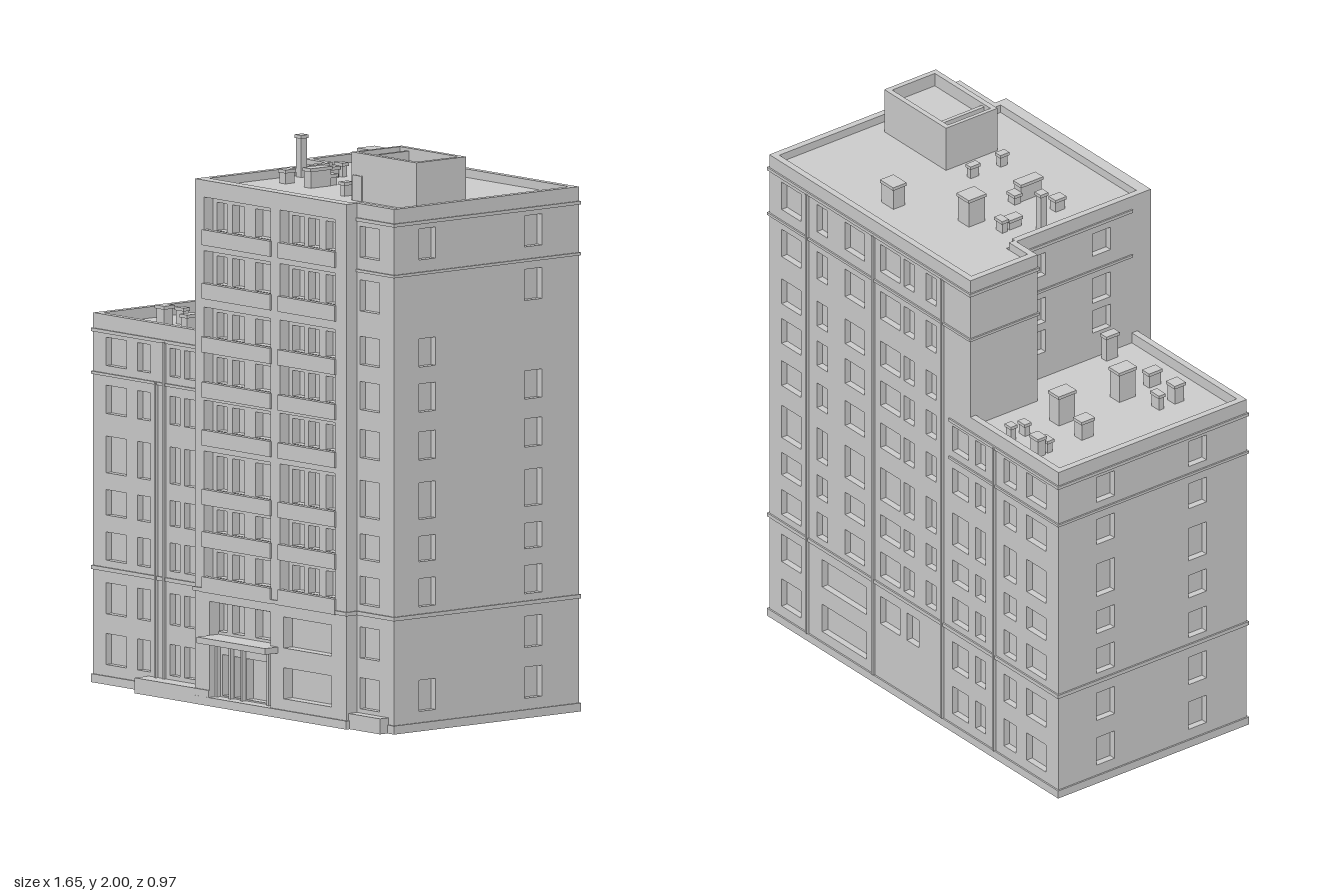
import * as THREE from 'three';

const mat = new THREE.MeshStandardMaterial({ color: 0xcccccc });
const D = 0.025; // usual wall thickness = window recess

export function createModel() {
  const root = new THREE.Group();
  root.name = 'apartmentBlock';

  const box = (name, x0, x1, y0, y1, z0, z1, parent = root) => {
    const m = new THREE.Mesh(new THREE.BoxGeometry(x1 - x0, y1 - y0, z1 - z0), mat);
    m.position.set((x0 + x1) / 2, (y0 + y1) / 2, (z0 + z1) / 2);
    m.name = name;
    parent.add(m);
    return m;
  };

  // Wall panel with rectangular openings; u is world x (front, back) or z (sides)
  const faces = {
    front: { rot: 0, s: 1 }, back: { rot: Math.PI, s: -1 },
    right: { rot: -Math.PI / 2, s: 1 }, left: { rot: Math.PI / 2, s: -1 },
  };
  const wall = (name, face, at, u0, u1, y0, y1, holes = [], depth = D) => {
    const { rot, s } = faces[face];
    const rect = (path, a, b, c, d) => {
      const [l, r] = [Math.min(a * s, b * s), Math.max(a * s, b * s)];
      path.moveTo(l, c);
      path.lineTo(r, c);
      path.lineTo(r, d);
      path.lineTo(l, d);
      path.closePath();
      return path;
    };
    const shape = rect(new THREE.Shape(), u0, u1, y0, y1);
    for (const h of holes) shape.holes.push(rect(new THREE.Path(), ...h));
    const geo = new THREE.ExtrudeGeometry(shape, { depth, bevelEnabled: false });
    geo.translate(0, 0, Math.abs(at) - depth * 1);
    if (face === 'front') geo.translate(0, 0, at - Math.abs(at));
    const m = new THREE.Mesh(geo, mat);
    m.rotation.y = rot;
    m.name = name;
    root.add(m);
  };
  const grid = (cols, rows) => cols.flatMap(c => rows.map(r => [...c, ...r]));

  // Window rows from the ground up; the low wing has the first seven
  const rows = [[0.07, 0.18], [0.25, 0.36], [0.44, 0.54], [0.6, 0.69], [0.75, 0.88],
    [0.96, 1.06], [1.13, 1.23], [1.29, 1.39], [1.48, 1.59], [1.67, 1.78]];
  const lowRows = rows.slice(0, 7), upRows = rows.slice(2);
  const pick = (...ids) => ids.map(i => rows[i]);

  // Solid cores behind the wall panels; their faces are the window panes
  box('wingCore', -0.795, -0.19, 0, 1.27, -0.455, 0.335);
  box('towerCore', -0.175, 0.795, 0, 1.83, -0.455, 0.345);
  box('rearCore', -0.295, -0.17, 0, 1.83, -0.455, -0.205);
  box('towerRoofEdge', -0.18, 0.6, 1.81, 1.83, 0.3, 0.38);

  // Low wing
  const wingCols = [[-0.75, -0.64], [-0.58, -0.51], [-0.405, -0.35], [-0.325, -0.22]];
  wall('wingFront', 'front', 0.36, -0.82, -0.19, 0, 1.31, grid(wingCols, lowRows));
  wall('wingBack', 'back', -0.48, -0.82, -0.32, 0, 1.31, grid(wingCols.slice(0, 3), lowRows));
  wall('wingSide', 'right', -0.82, -0.455, 0.335, 0, 1.31,
    grid([[-0.31, -0.23], [0.1, 0.18]], lowRows));

  // Tower side and back
  wall('towerSide', 'left', 0.82, -0.455, 0.345, 0, 1.86, [
    ...grid([[0.18, 0.255]], pick(0, 2, 3, 4, 5, 6, 7, 9)),
    ...grid([[-0.31, -0.23]], pick(0, 1, 2, 3, 4, 5, 6, 8, 9))]);
  wall('towerBack', 'back', -0.48, -0.32, 0.82, 0, 1.86, [
    ...grid([[0.64, 0.75]], rows),
    ...grid([[0.49, 0.55], [0.28, 0.39], [0.08, 0.19], [0, 0.055], [-0.125, -0.07]], upRows),
    ...grid([[0.27, 0.52]], pick(0, 1)),
    ...grid([[0.08, 0.19], [-0.03, 0.04]], pick(1)),
    ...grid([[-0.31, -0.22]], lowRows)]);

  // Tower faces above the wing
  wall('towerInnerSide', 'right', -0.2, -0.18, 0.38, 0, 1.86,
    grid([[-0.13, -0.05], [0.16, 0.24]], [[1.37, 1.46], [1.49, 1.59], [1.68, 1.77]]));
  wall('rearBlockSide', 'right', -0.32, -0.455, -0.18, 1.2, 1.86);
  wall('rearBlockFront', 'front', -0.18, -0.3, -0.19, 1.2, 1.86);

  // Tower front: corner strip, return, and the centre with deep balcony bays
  wall('cornerFront', 'front', 0.37, 0.6, 0.82, 0, 1.86, grid([[0.635, 0.74]], rows));
  wall('cornerReturn', 'left', 0.62, 0.345, 0.38, 0, 1.86);
  const bays = [[-0.15, 0.21], [0.26, 0.56]];
  const openings = upRows.map(([a, b]) => [a, b + 0.02]);
  wall('towerFront', 'front', 0.42, -0.2, 0.62, 0, 1.86, [
    ...grid(bays, openings),
    [-0.12, 0.21, 0.25, 0.37], [-0.12, 0.21, 0.03, 0.225],
    ...grid([[0.28, 0.54]], pick(0, 1))], 0.045);
  const bayCols = [[-0.13, -0.075], [-0.045, 0.02], [0.08, 0.19],
    [0.28, 0.345], [0.365, 0.425], [0.46, 0.54]];
  wall('balconyBackWall', 'front', 0.378, -0.18, 0.6, 0.03, 1.8, [
    ...grid(bayCols, upRows.map(([a, b]) => [a + 0.01, b])),
    ...grid(bayCols.slice(0, 3), [[0.26, 0.36]]),
    [-0.1, -0.05, 0.035, 0.18], [-0.035, 0.015, 0.035, 0.18],
    [0.03, 0.16, 0.035, 0.18]], 0.033);
  for (const [a, b] of bays) {
    for (const [y] of upRows) {
      box('balconyRail', a - 0.005, b + 0.005, y - 0.04, y + 0.015, 0.405, 0.427);
    }
  }

  // String courses and plinth, as thin slabs that stand proud of the walls
  const e = 0.006;
  const slab = (name, y, h, x0, x1, z0, z1) =>
    box(name, x0 - e, x1 + e, y - h / 2, y + h / 2, z0 - e, z1 + e);
  const towerBand = (y, h, centre) => {
    slab('towerBand', y, h, -0.2, 0.82, -0.48, 0.33);
    slab('towerBand', y, h, 0.625, 0.82, -0.48, 0.37);
    slab('rearBand', y, h, -0.32, -0.19, -0.48, -0.18);
    if (centre) slab('centreBand', y, h, -0.2, 0.62, 0, 0.42);
  };
  towerBand(1.803, 0.012, false);
  towerBand(1.622, 0.01, false);
  towerBand(0.408, 0.014, true);
  towerBand(0.015, 0.03, true);
  for (const [y, h] of [[1.25, 0.012], [1.098, 0.01], [0.408, 0.014], [0.015, 0.03]]) {
    slab('wingBand', y, h, -0.82, -0.21, -0.48, 0.36);
  }

  // Entrance canopy, door frame and ground-level planters
  box('canopy', -0.12, 0.25, 0.228, 0.25, 0.38, 0.48);
  for (const x of [-0.115, -0.042, 0.022, 0.165]) {
    box('doorPost', x - 0.005, x + 0.005, 0.03, 0.225, 0.37, 0.395);
  }
  box('planter', -0.52, -0.12, 0, 0.055, 0.34, 0.425);
  box('planter', 0.62, 0.79, 0, 0.055, 0.34, 0.41);

  // Downpipes
  const pipe = (x, z, top) => box('downpipe', x - 0.005, x + 0.005, 0.03, top, z - 0.006, z + 0.006);
  pipe(-0.475, 0.364, 1.1);
  pipe(-0.43, 0.364, 1.25);
  for (const x of [0.6, 0.225, -0.165]) pipe(x, -0.484, 1.8);
  pipe(-0.46, -0.484, 1.25);

  // Roof house: a solid box with a raised rim and a cross wall on top
  const house = new THREE.Group();
  house.name = 'roofHouse';
  root.add(house);
  box('roofHouseBody', 0.39, 0.74, 1.82, 1.95, -0.03, 0.2, house);
  box('rimFront', 0.39, 0.74, 1.95, 2, 0.18, 0.2, house);
  box('rimBack', 0.39, 0.74, 1.95, 2, -0.03, -0.01, house);
  box('rimLeft', 0.72, 0.74, 1.95, 2, -0.01, 0.18, house);
  box('rimRight', 0.39, 0.405, 1.95, 2, -0.01, 0.18, house);
  box('crossWall', 0.44, 0.455, 1.95, 1.99, -0.01, 0.18, house);
  box('roofDoor', 0.4, 0.45, 1.83, 1.92, 0.19, 0.205, house);

  // Roof vents: x, z, width, depth, top; each has a slightly wider cap
  const vent = (base, x, z, w, d, top) => {
    const g = new THREE.Group();
    g.name = 'roofVent';
    root.add(g);
    const a = w / 2 - 0.004, b = d / 2 - 0.004;
    box('ventShaft', x - a, x + a, base, top - 0.012, z - b, z + b, g);
    box('ventCap', x - w / 2, x + w / 2, top - 0.012, top, z - d / 2, z + d / 2, g);
  };
  const towerVents = [
    [-0.145, -0.025, 0.035, 0.035, 1.98], [-0.065, -0.14, 0.045, 0.03, 1.88],
    [-0.065, -0.09, 0.04, 0.06, 1.87], [-0.065, 0.11, 0.04, 0.05, 1.88],
    [0.055, -0.18, 0.07, 0.08, 1.94], [0.07, 0.085, 0.045, 0.1, 1.9],
    [0.065, 0.02, 0.045, 0.035, 1.87], [0.32, -0.32, 0.075, 0.06, 1.92],
    [0.3, 0.02, 0.028, 0.045, 1.88], [0.3, 0.15, 0.03, 0.04, 1.88]];
  const wingVents = [
    [-0.615, -0.41, 0.05, 0.04, 1.345], [-0.615, -0.37, 0.045, 0.03, 1.32],
    [-0.475, -0.42, 0.035, 0.03, 1.33], [-0.475, -0.36, 0.04, 0.03, 1.32],
    [-0.615, -0.205, 0.05, 0.06, 1.345], [-0.48, -0.195, 0.06, 0.08, 1.39],
    [-0.48, 0.075, 0.06, 0.08, 1.39], [-0.615, 0.125, 0.05, 0.03, 1.33],
    [-0.615, 0.205, 0.05, 0.05, 1.345], [-0.475, 0.21, 0.04, 0.06, 1.33],
    [-0.235, 0.21, 0.035, 0.06, 1.37]];
  towerVents.forEach(v => vent(1.82, ...v));
  wingVents.forEach(v => vent(1.26, ...v));

  return root;
}
